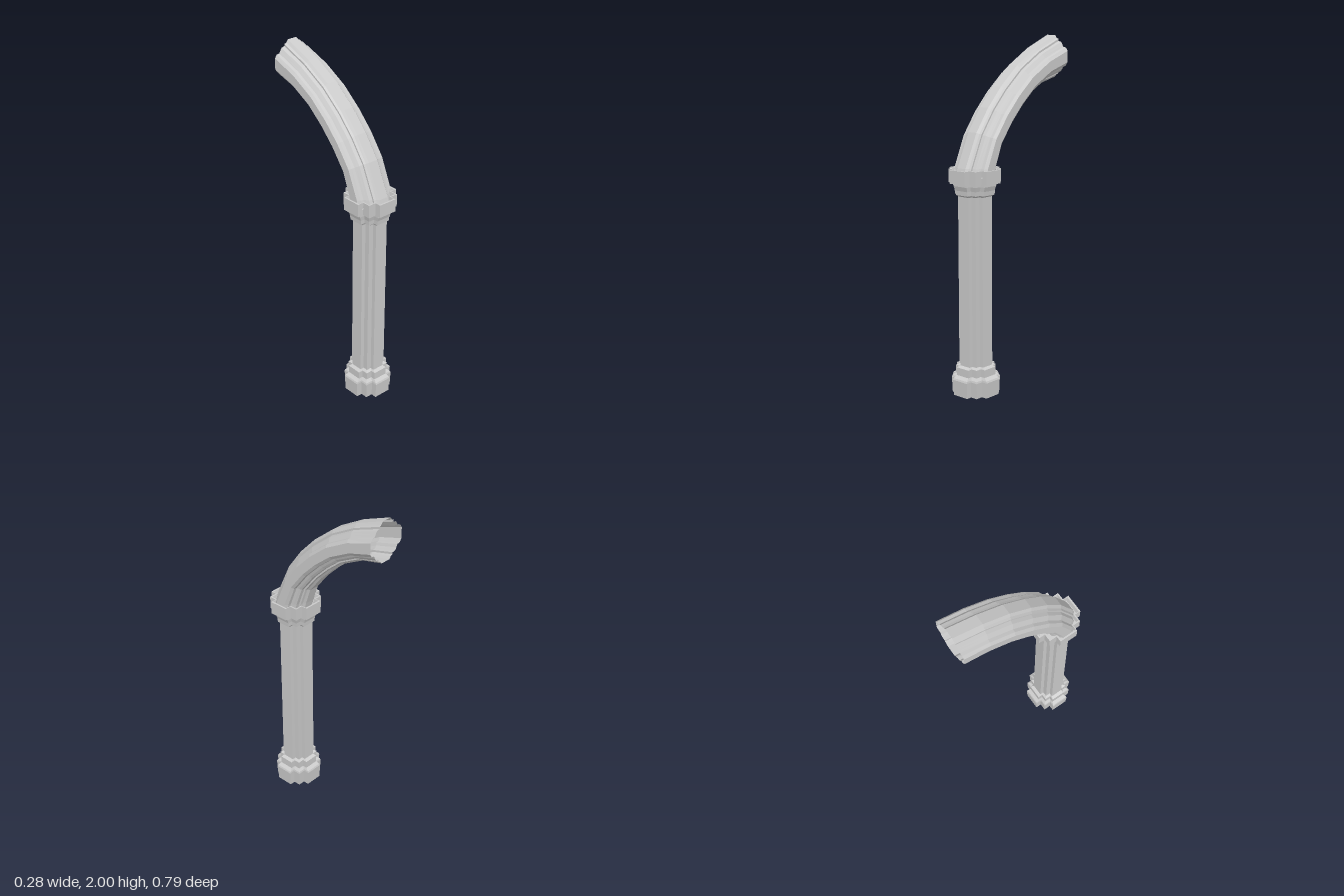
import * as THREE from 'three';

const material = new THREE.MeshStandardMaterial({ color: 0xcccccc, flatShading: true, side: THREE.DoubleSide });

// Skin closed rings of Vector3 into a faceted surface, optionally closing the last ring
function loft(name, rings, closeEnd = false) {
  const pos = [];
  const tri = (...pts) => pts.forEach(p => pos.push(p.x, p.y, p.z));
  const n = rings[0].length;
  for (let i = 0; i + 1 < rings.length; i++) {
    for (let j = 0; j < n; j++) {
      const k = (j + 1) % n;
      const [a, b, c, d] = [rings[i][j], rings[i][k], rings[i + 1][k], rings[i + 1][j]];
      tri(a, b, c);
      tri(a, c, d);
    }
  }
  if (closeEnd) {
    const last = rings[rings.length - 1];
    const mid = last.reduce((s, p) => s.add(p), new THREE.Vector3()).divideScalar(n);
    for (let j = 0; j < n; j++) tri(last[j], last[(j + 1) % n], mid);
  }
  const geometry = new THREE.BufferGeometry();
  geometry.setAttribute('position', new THREE.Float32BufferAttribute(pos, 3));
  geometry.computeVertexNormals();
  const mesh = new THREE.Mesh(geometry, material);
  mesh.name = name;
  return mesh;
}

// Stepped cross section of the pier: one quarter, turned four times
const QUARTER = [[1, 0.405], [1, -0.405], [0.735, -0.405], [0.735, -0.735], [0.405, -0.735]];
const COLUMN_Z = 0.257;

function pierRing(half, y) {
  const ring = [];
  for (let q = 0; q < 4; q++) {
    const c = Math.cos(q * Math.PI / 2), s = Math.sin(q * Math.PI / 2);
    for (const [x, z] of QUARTER) {
      ring.push(new THREE.Vector3((x * c + z * s) * half, y, (z * c - x * s) * half + COLUMN_Z));
    }
  }
  return ring;
}

const pierPart = (name, profile, closeEnd) =>
  loft(name, profile.map(([half, y]) => pierRing(half, y)), closeEnd);

// Moulded rib section, right half: x and depth from soffit (0) to crown (1)
const RIB_HALF = [
  [0.03, 1], [0.042, 0.93], [0.055, 0.91], [0.055, 0.86], [0.075, 0.84], [0.085, 0.77],
  [0.092, 0.72], [0.11, 0.71], [0.123, 0.63], [0.123, 0.36],
  [0.11, 0.28], [0.092, 0.27], [0.085, 0.2], [0.075, 0.14], [0.055, 0.13], [0.055, 0.08], [0.042, 0.06], [0.03, 0]
];

// Crown and soffit curves of the rib: z, y at matching stations
const CROWN = [[0.379, 1.25], [0.363, 1.3], [0.275, 1.49], [0.18, 1.62], [0.075, 1.73], [-0.06, 1.84], [-0.22, 1.93], [-0.397, 2]];
const SOFFIT = [[0.16, 1.25], [0.147, 1.3], [0.113, 1.4], [0.03, 1.505], [-0.055, 1.59], [-0.145, 1.665], [-0.27, 1.73], [-0.397, 1.76]];

function ribRing(station) {
  const [zo, yo] = CROWN[station], [zi, yi] = SOFFIT[station];
  const section = [...RIB_HALF, ...RIB_HALF.map(([x, t]) => [-x, t]).reverse()];
  return section.map(([x, t]) => new THREE.Vector3(x, yi + (yo - yi) * t, zi + (zo - zi) * t));
}

export function createModel() {
  const group = new THREE.Group();
  group.name = 'archedPier';

  // Plinth with a sloped set-back
  group.add(pierPart('base', [[0.128, 0], [0.132, 0.09], [0.128, 0.1], [0.109, 0.115], [0.109, 0.16], [0.09, 0.17]]));

  // Clustered shaft
  group.add(pierPart('shaft', [[0.09, 0.17], [0.09, 1.14]]));

  // Capital: necking, flare, abacus and a shallow recess that receives the rib
  group.add(pierPart('capital', [
    [0.09, 1.14], [0.106, 1.15], [0.108, 1.175], [0.116, 1.2], [0.116, 1.215],
    [0.14, 1.215], [0.14, 1.29], [0.13, 1.29], [0.122, 1.26]
  ], true));

  // Half of a pointed arch, open where it meets its other half
  group.add(loft('archRib', CROWN.map((_, i) => ribRing(i))));

  return group;
}
